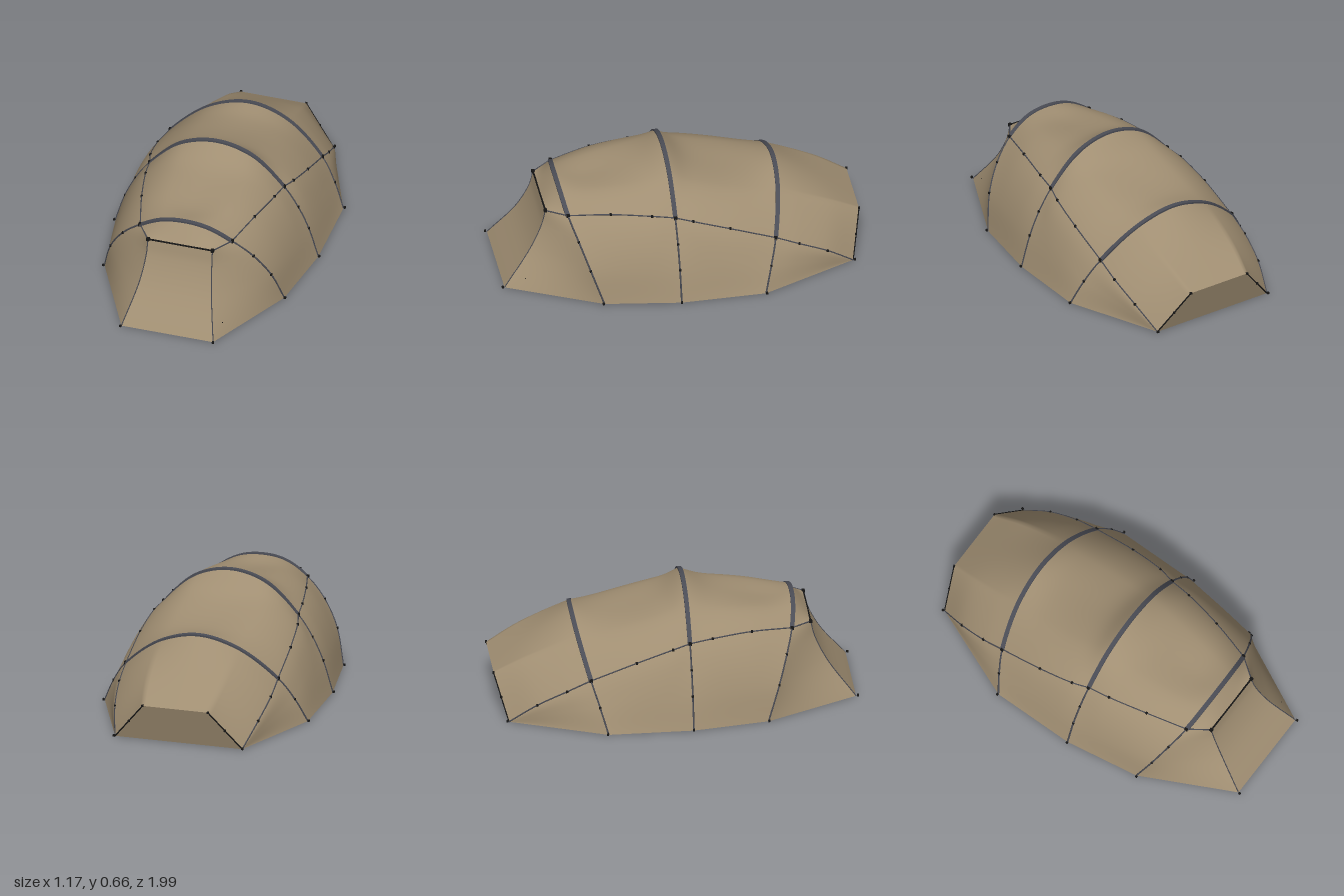
import * as THREE from 'three';

const V = (x, y, z) => new THREE.Vector3(x, y, z);
const mirror = (p) => V(-p.x, p.y, p.z);
const toPoints = (rows) => rows.map((r) => V(...r));
const spline = (rows) => new THREE.CatmullRomCurve3(toPoints(rows));
const lerp = (a, b, t) => a.clone().lerp(b, t);

// Half hoops from ground to crown; index `seam` is where the side seam crosses
const HOOPS = {
  front: { seam: 3, half: [[.51, 0, .47], [.455, .19, .535], [.37, .33, .585], [.26, .435, .625], [.13, .51, .645], [0, .53, .65]] },
  middle: { seam: 3, half: [[.575, 0, .055], [.52, .18, .055], [.46, .31, .055], [.38, .43, .055], [.2, .602, .055], [0, .655, .055]] },
  rear: { seam: 2, half: [[.575, 0, -.41], [.513, .135, -.45], [.43, .26, -.49], [.22, .43, -.54], [0, .49, -.555]] },
};
// Side seams, bay by bay
const SEAMS = [
  [[.26, .435, .625], [.32, .455, .4], [.365, .446, .18], [.38, .43, .055]],
  [[.38, .43, .055], [.405, .41, -.04], [.425, .35, -.24], [.43, .26, -.49]],
  [[.43, .26, -.49], [.428, .2, -.62], [.405, .115, -.78], [.36, 0, -.93]],
];
// Sagging ridge lines, bay by bay
const RIDGES = [
  [[0, .53, .65], [0, .519, .515], [0, .54, .355], [0, .58, .195], [0, .655, .055]],
  [[0, .655, .055], [0, .557, -.07], [0, .503, -.23], [0, .477, -.42], [0, .49, -.555]],
  [[0, .49, -.555], [0, .215, -.995]],
];
const DOOR = [[.26, 0, .975], [.205, .2, .825], [.186, .34, .757], [.183, .43, .735]];
const REAR_BASE = V(.36, 0, -.93), REAR_TOP = V(.185, .215, -.995);

export function createModel() {
  const model = new THREE.Group();
  model.name = 'tunnelTent';
  const material = (name, color, side = THREE.FrontSide) => {
    const m = new THREE.MeshStandardMaterial({ color, side });
    m.name = name;
    return m;
  };
  const fabric = material('tan fabric', 0xa08e72, THREE.DoubleSide);
  const sleeveMat = material('slate sleeve', 0x4a4c55);
  const black = material('black fittings', 0x161616);

  const add = (name, geometry, mat) => {
    const mesh = new THREE.Mesh(geometry, mat);
    mesh.name = name;
    model.add(mesh);
    return mesh;
  };

  // Smooth sheet from a function of (u, v), both 0..1
  function sheet(name, fn, nu = 24, nv = 24) {
    const pos = [], idx = [];
    for (let i = 0; i <= nu; i++) {
      for (let j = 0; j <= nv; j++) {
        pos.push(...fn(i / nu, j / nv).toArray());
        if (i < nu && j < nv) {
          const a = i * (nv + 1) + j, b = a + nv + 1;
          idx.push(a, b, a + 1, b, b + 1, a + 1);
        }
      }
    }
    const g = new THREE.BufferGeometry();
    g.setAttribute('position', new THREE.Float32BufferAttribute(pos, 3));
    g.setIndex(idx);
    g.computeVertexNormals();
    return add(name, g, fabric);
  }

  // Patch between two end curves (v) that follows a lower and an upper edge (u)
  const patch = (end0, end1, low, high) => (u, v) => {
    const b = v * v * (3 - 2 * v);
    const p = lerp(end0(v), end1(v), u);
    p.addScaledVector(low(u).sub(lerp(end0(0), end1(0), u)), 1 - b);
    return p.addScaledVector(high(u).sub(lerp(end0(1), end1(1), u)), b);
  };
  const pair = (name, fn) => {
    sheet('left' + name, fn);
    sheet('right' + name, (u, v) => mirror(fn(u, v)));
  };
  const across = (name, fn) => sheet(name, (u, w) => {
    const v = 1 - Math.abs(2 * w - 1);
    return w <= 0.5 ? fn(u, v) : mirror(fn(u, v));
  }, 24, 48);

  const line = (name, curve, radius, mat) =>
    add(name, new THREE.TubeGeometry(curve, 28, radius, 5), mat);
  const bothLines = (name, points, radius, mat) => {
    line('left' + name, new THREE.CatmullRomCurve3(points), radius, mat);
    line('right' + name, new THREE.CatmullRomCurve3(points.map(mirror)), radius, mat);
  };
  const knot = (name, p, size) =>
    add(name, new THREE.BoxGeometry(size, size, size), black).position.copy(p);
  const knots = (name, points, size) => points.forEach((p) => {
    knot('left' + name, p, size);
    knot('right' + name, mirror(p), size);
  });

  // Hoop curves, split at the seam
  const hoops = Object.entries(HOOPS).map(([name, { seam, half }]) => {
    const pts = toPoints(half), n = pts.length - 1;
    const curve = new THREE.CatmullRomCurve3([...pts, ...pts.slice(0, n).reverse().map(mirror)]);
    return {
      name, seam, pts,
      lower: (v) => curve.getPoint(v * seam / (2 * n)),
      upper: (v) => curve.getPoint((seam + v * (n - seam)) / (2 * n)),
      full: (t) => curve.getPoint((seam + t * 2 * (n - seam)) / (2 * n)),
    };
  });

  // Roof and side panels of the three bays
  const rearEdge = (v) => (v < 0.5
    ? lerp(REAR_BASE, REAR_TOP, v * 2)
    : lerp(REAR_TOP, V(0, REAR_TOP.y, REAR_TOP.z), v * 2 - 1));
  ['Front', 'Middle', 'Rear'].forEach((bay, i) => {
    const a = hoops[i], b = hoops[i + 1];
    const seam = spline(SEAMS[i]), ridge = spline(RIDGES[i]);
    const along = (u) => seam.getPoint(u);
    const endLow = b ? b.lower : () => REAR_BASE.clone();
    const endHigh = b ? b.upper : rearEdge;
    across('roof' + bay, patch(a.upper, endHigh, along, (u) => ridge.getPointAt(u)));
    pair('Side' + bay, patch(a.lower, endLow, (u) => lerp(a.lower(0), endLow(0), u), along));
    bothLines('Seam' + bay, toPoints(SEAMS[i]), 0.004, sleeveMat);
    knots('SeamKnot' + bay, toPoints(SEAMS[i]).slice(1, -1), 0.012);
  });

  // Porch: brow, side wings and curved door
  const door = spline(DOOR), doorAt = (v) => door.getPoint(v);
  const doorTop = doorAt(1), front = hoops[0];
  const browEdge = (v) => lerp(doorTop, V(0, doorTop.y, doorTop.z), v);
  const between = (p, q) => (u) => lerp(p, q, u);
  const seamToDoor = between(front.upper(0), doorTop);
  across('porchBrow', patch(front.upper, browEdge, seamToDoor, between(front.upper(1), browEdge(1))));
  pair('PorchWing', patch(front.lower, doorAt, between(front.lower(0), doorAt(0)), seamToDoor));
  sheet('doorPanel', (u, v) => lerp(mirror(doorAt(v)), doorAt(v), u), 4, 24);
  bothLines('DoorSeam', toPoints(DOOR), 0.003, sleeveMat);
  bothLines('BrowSeam', [front.upper(0), doorTop], 0.004, sleeveMat);
  line('doorBar', new THREE.LineCurve3(mirror(doorTop), doorTop), 0.005, black);
  knot('doorToggle', V(.275, .055, .86), 0.013);

  // Rear end panel with edge cords
  sheet('rearPanel', (u, v) => {
    const p = lerp(REAR_BASE, REAR_TOP, v);
    return lerp(p, mirror(p), u);
  }, 4, 4);
  bothLines('RearCord', [REAR_BASE, REAR_TOP], 0.004, black);
  knots('RearKnot', [REAR_TOP, lerp(REAR_BASE, REAR_TOP, 0.5)], 0.011);

  // Flat pole sleeves over the roof, thin poles down the sides
  const strap = new THREE.Shape([[-.012, -.005], [.012, -.005], [.012, .005], [-.012, .005]]
    .map(([x, y]) => new THREE.Vector2(x, y)));
  hoops.forEach(({ name, seam, pts, full, lower }) => {
    const path = new THREE.CatmullRomCurve3(Array.from({ length: 25 }, (_, i) => full(i / 24)));
    add(name + 'Sleeve', new THREE.ExtrudeGeometry(strap, { steps: 48, extrudePath: path }), sleeveMat);
    bothLines(name + 'Pole', Array.from({ length: 9 }, (_, i) => lower(i / 8)), 0.005, sleeveMat);
    knots(name + 'PoleKnot', pts.slice(1, seam), 0.012);
    knots(name + 'SeamJoint', [pts[seam]], 0.018);
  });

  // Ground pegs and door corner joints
  knots('Peg', [...hoops.map((h) => h.pts[0]), doorAt(0), REAR_BASE]
    .map((p) => V(p.x * 1.01, 0.005, p.z * 1.01)), 0.011);
  knots('DoorJoint', [doorTop], 0.017);
  return model;
}
